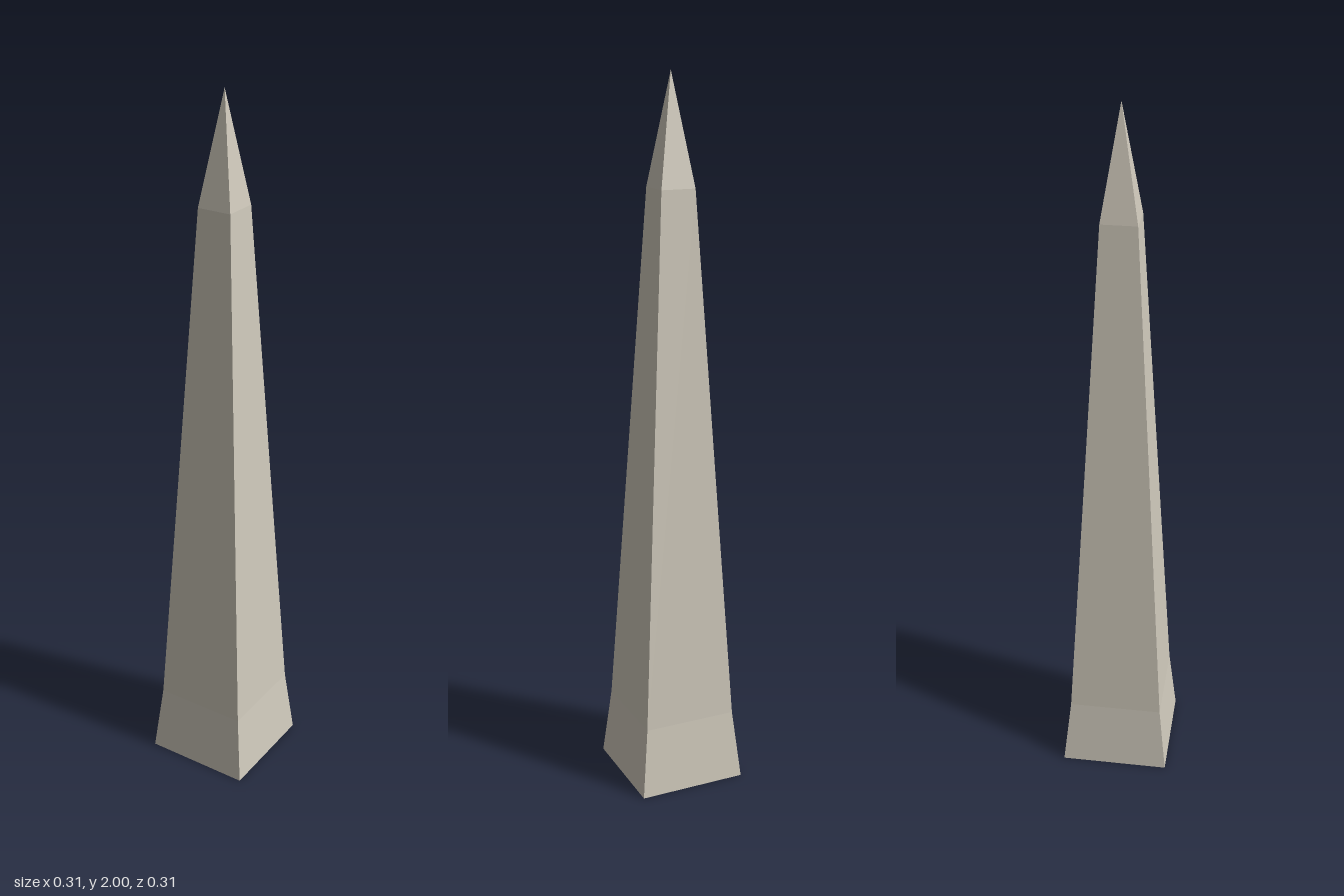
import * as THREE from 'three';

export function createModel() {
  const group = new THREE.Group();
  const stone = new THREE.MeshStandardMaterial({ color: 0xd0cabc, flatShading: true });

  // Square tapered block; half widths at bottom and top
  function taper(name, bottom, top, y0, y1) {
    const geometry = new THREE.CylinderGeometry(top * Math.SQRT2, bottom * Math.SQRT2, y1 - y0, 4);
    geometry.rotateY(Math.PI / 4);
    geometry.translate(0, (y0 + y1) / 2, 0);
    const mesh = new THREE.Mesh(geometry, stone);
    mesh.name = name;
    group.add(mesh);
  }

  taper('base', 0.155, 0.134, 0, 0.2);
  taper('shaft', 0.134, 0.049, 0.2, 1.7);
  taper('pyramidTip', 0.049, 0, 1.7, 2);

  group.name = 'obelisk';
  return group;
}
